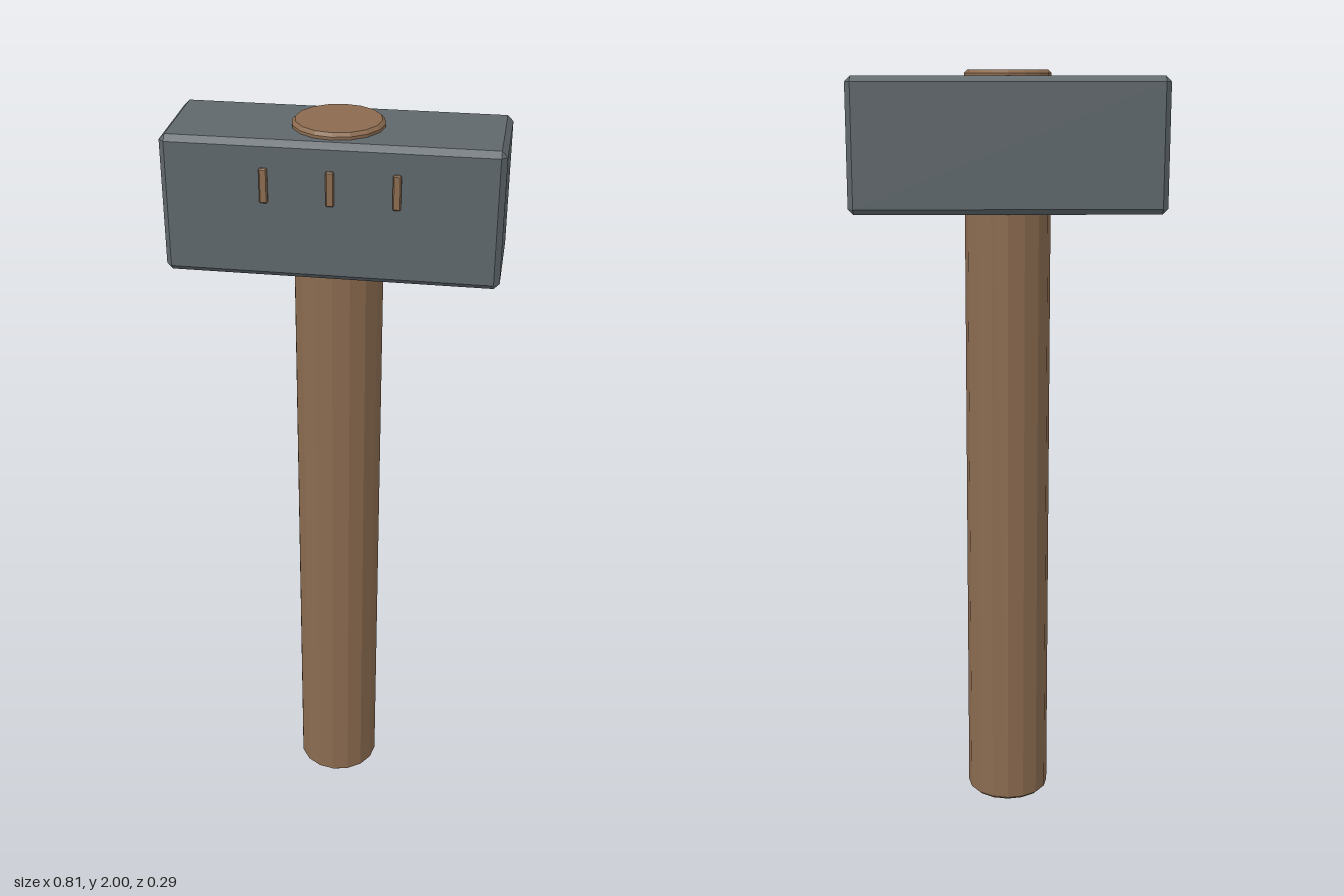
import * as THREE from 'three';
import { ConvexGeometry } from 'three/addons/geometries/ConvexGeometry.js';

// Box with flat chamfers on every edge and corner
function chamferBox(w, h, d, c) {
  const points = [];
  for (const x of [-1, 1]) for (const y of [-1, 1]) for (const z of [-1, 1]) {
    for (let axis = 0; axis < 3; axis++) {
      const inset = [c, c, c];
      inset[axis] = 0;
      points.push(new THREE.Vector3(
        x * (w / 2 - inset[0]), y * (h / 2 - inset[1]), z * (d / 2 - inset[2])));
    }
  }
  return new ConvexGeometry(points);
}

export function createModel() {
  const model = new THREE.Group();
  model.name = 'hammer';

  const wood = new THREE.MeshStandardMaterial({ color: 0x8b6b50, flatShading: true });
  wood.name = 'brown wood';
  const steel = new THREE.MeshStandardMaterial({ color: 0x5f676b, flatShading: true });
  steel.name = 'grey steel';

  const add = (name, geometry, material, x, y, z) => {
    const mesh = new THREE.Mesh(geometry, material);
    mesh.name = name;
    mesh.position.set(x, y, z);
    model.add(mesh);
  };

  const centreZ = -0.004;

  // Sixteen-sided handle, chamfered at both ends, passing through the head
  const r = 0.112, bevel = 0.008;
  const profile = [[0, 0], [r - bevel, 0], [r, bevel], [r, 2 - bevel], [r - bevel, 2], [0, 2]]
    .map(([x, y]) => new THREE.Vector2(x, y));
  add('handle', new THREE.LatheGeometry(profile, 16), wood, 0, 0, centreZ);

  // Block head
  add('head', chamferBox(0.81, 0.34, 0.278, 0.014), steel, 0, 1.815, centreZ);

  // Three small upright marks on the front of the head
  for (const x of [-0.157, 0, 0.157]) {
    add('frontMark', chamferBox(0.02, 0.085, 0.016, 0.003), wood, x, 1.878, 0.135);
  }

  return model;
}
